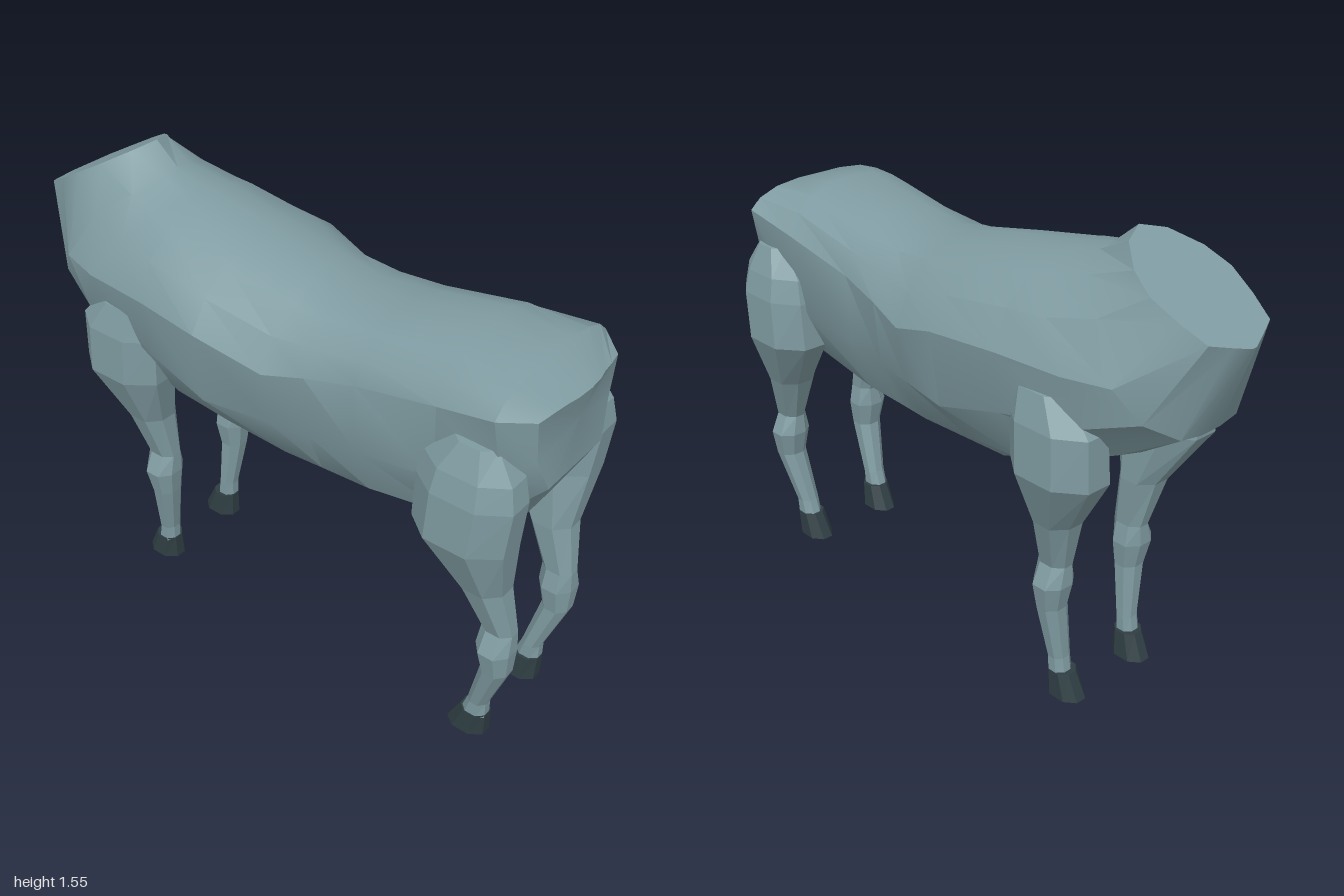
import * as THREE from 'three';
import { toCreasedNormals } from 'three/addons/utils/BufferGeometryUtils.js';

const hide = new THREE.MeshStandardMaterial({ color: 0x7f9ba1 });
hide.name = 'greyBlueHide';
const horn = new THREE.MeshStandardMaterial({ color: 0x2f3e43 });
horn.name = 'darkHoof';

// Skin closed rings of [x, y, z] points and cap both ends.
function loft(rings, crease) {
  const n = rings[0].length, pos = [];
  const tri = (a, b, c) => pos.push(...a, ...b, ...c);
  const mid = (r) => [0, 1, 2].map((k) => r.reduce((s, p) => s + p[k], 0) / n);
  const first = rings[0], last = rings[rings.length - 1];
  for (let i = 0; i < n; i++) {
    const j = (i + 1) % n;
    for (let r = 0; r < rings.length - 1; r++) {
      const A = rings[r], B = rings[r + 1];
      tri(A[i], A[j], B[j]);
      tri(A[i], B[j], B[i]);
    }
    tri(mid(first), first[j], first[i]);
    tri(mid(last), last[i], last[j]);
  }
  const g = new THREE.BufferGeometry();
  g.setAttribute('position', new THREE.Float32BufferAttribute(pos, 3));
  if (crease) return toCreasedNormals(g, crease);
  g.computeVertexNormals();
  return g;
}

// Half ring from spine to belly, mirrored into a full ring.
const mirrorRing = (half) => [
  ...half,
  ...half.slice(1).reverse().map(([x, y, z]) => [x, y, -z]),
];
// Upright trunk section at one x: pairs of [y, z].
const section = (x, yz) => mirrorRing(yz.map(([y, z]) => [x, y, z]));

function trunk() {
  // slanted flat neck cut
  const neckCut = mirrorRing([
    [-0.585, 0], [-0.62, 0.08], [-0.7, 0.145], [-0.78, 0.17],
    [-0.87, 0.155], [-0.95, 0.13], [-0.98, 0.06], [-1, 0.01],
  ].map(([x, z]) => [x, 1.32 + 0.566 * (x + 1), z]));
  const neckBase = mirrorRing([
    [-0.5, 1.485, 0], [-0.5, 1.475, 0.06], [-0.55, 1.44, 0.16], [-0.65, 1.36, 0.23],
    [-0.75, 1.2, 0.27], [-0.82, 1.1, 0.22], [-0.875, 1.04, 0.12], [-0.88, 1.03, 0.04],
  ]);
  const shoulder = mirrorRing([
    [-0.39, 1.46, 0], [-0.39, 1.45, 0.08], [-0.42, 1.41, 0.18], [-0.5, 1.33, 0.27],
    [-0.6, 1.2, 0.315], [-0.66, 1.05, 0.28], [-0.69, 0.94, 0.17], [-0.69, 0.91, 0.06],
  ]);
  const rump = mirrorRing([
    [0.88, 1.37, 0], [0.88, 1.37, 0.09], [0.88, 1.36, 0.18], [0.88, 1.335, 0.25],
    [0.88, 1.3, 0.29], [0.89, 1.1, 0.25], [0.9, 0.94, 0.14], [0.86, 0.8, 0.1],
  ]);
  const tail = mirrorRing([
    [1, 1.305, 0], [0.995, 1.303, 0.06], [0.985, 1.3, 0.1], [0.98, 1.3, 0.145],
    [0.965, 1.29, 0.21], [0.965, 1.15, 0.19], [0.985, 1.04, 0.145], [0.985, 1.04, 0.04],
  ]);
  return loft([
    neckCut, neckBase, shoulder,
    section(-0.36, [[1.453, 0], [1.44, 0.09], [1.4, 0.19], [1.32, 0.285],
      [1.2, 0.335], [1.0, 0.31], [0.8, 0.2], [0.765, 0.08]]),
    section(-0.12, [[1.41, 0], [1.395, 0.09], [1.36, 0.2], [1.29, 0.3],
      [1.195, 0.365], [0.94, 0.33], [0.8, 0.22], [0.67, 0.06]]),
    section(0.1, [[1.36, 0], [1.35, 0.09], [1.31, 0.18], [1.23, 0.26],
      [1.12, 0.31], [0.93, 0.28], [0.77, 0.2], [0.705, 0.1]]),
    section(0.24, [[1.33, 0], [1.325, 0.09], [1.3, 0.18], [1.24, 0.245],
      [1.155, 0.285], [0.94, 0.265], [0.77, 0.19], [0.705, 0.1]]),
    section(0.41, [[1.35, 0], [1.345, 0.09], [1.32, 0.17], [1.265, 0.23],
      [1.19, 0.262], [0.95, 0.25], [0.77, 0.18], [0.708, 0.1]]),
    section(0.69, [[1.402, 0], [1.395, 0.09], [1.37, 0.17], [1.325, 0.235],
      [1.255, 0.275], [1.0, 0.26], [0.81, 0.17], [0.76, 0.11]]),
    rump, tail,
  ], 0.5);
}

// Chamfered rectangle at one height, wound anticlockwise from above.
function legRing([y, x0, x1, zi, zo], side) {
  const z0 = side > 0 ? zi : -zo, z1 = side > 0 ? zo : -zi;
  const cx = (x1 - x0) * 0.27, cz = (z1 - z0) * 0.3;
  return [
    [x1, y, z1 - cz], [x1, y, z0 + cz], [x1 - cx, y, z0], [x0 + cx, y, z0],
    [x0, y, z0 + cz], [x0, y, z1 - cz], [x0 + cx, y, z1], [x1 - cx, y, z1],
  ];
}

// Leg rows, hoof joint up to the thigh: y, back and front x, inner and outer z.
const foreRows = [
  [0.08, -0.52, -0.45, 0.125, 0.195],
  [0.14, -0.51, -0.45, 0.125, 0.195],
  [0.33, -0.505, -0.42, 0.13, 0.228],
  [0.42, -0.525, -0.41, 0.118, 0.245],
  [0.49, -0.522, -0.412, 0.13, 0.215],
  [0.66, -0.565, -0.42, 0.12, 0.265],
  [0.855, -0.69, -0.375, 0.125, 0.345],
  [1.02, -0.685, -0.368, 0.14, 0.342],
  [1.12, -0.6, -0.385, 0.17, 0.315],
];
const hindRows = [
  [0.08, 0.8, 0.885, 0.125, 0.195],
  [0.14, 0.82, 0.885, 0.125, 0.195],
  [0.33, 0.865, 0.955, 0.13, 0.228],
  [0.42, 0.845, 0.96, 0.118, 0.245],
  [0.49, 0.85, 0.955, 0.13, 0.215],
  [0.66, 0.775, 0.925, 0.12, 0.265],
  [0.855, 0.635, 0.945, 0.125, 0.345],
  [1.02, 0.642, 0.962, 0.14, 0.342],
  [1.1, 0.66, 0.945, 0.15, 0.325],
  [1.19, 0.74, 0.885, 0.18, 0.29],
];
const foreHoof = [
  [0, -0.575, -0.445, 0.105, 0.2],
  [0.09, -0.535, -0.447, 0.115, 0.197],
];
const hindHoof = [
  [0, 0.75, 0.885, 0.105, 0.2],
  [0.09, 0.795, 0.887, 0.115, 0.197],
];

export function createModel() {
  const model = new THREE.Group();
  model.name = 'headlessQuadruped';
  const add = (parent, name, geometry, material) => {
    const mesh = new THREE.Mesh(geometry, material);
    mesh.name = name;
    parent.add(mesh);
  };

  add(model, 'trunk', trunk(), hide);

  // four legs with hooves
  for (const [label, rows, hoof] of [['fore', foreRows, foreHoof], ['hind', hindRows, hindHoof]]) {
    for (const side of [1, -1]) {
      const leg = new THREE.Group();
      leg.name = `${label}Leg${side > 0 ? 'Front' : 'Back'}`;
      add(leg, `${label}Limb`, loft(rows.map((r) => legRing(r, side))), hide);
      add(leg, `${label}Hoof`, loft(hoof.map((r) => legRing(r, side))), horn);
      model.add(leg);
    }
  }
  return model;
}
